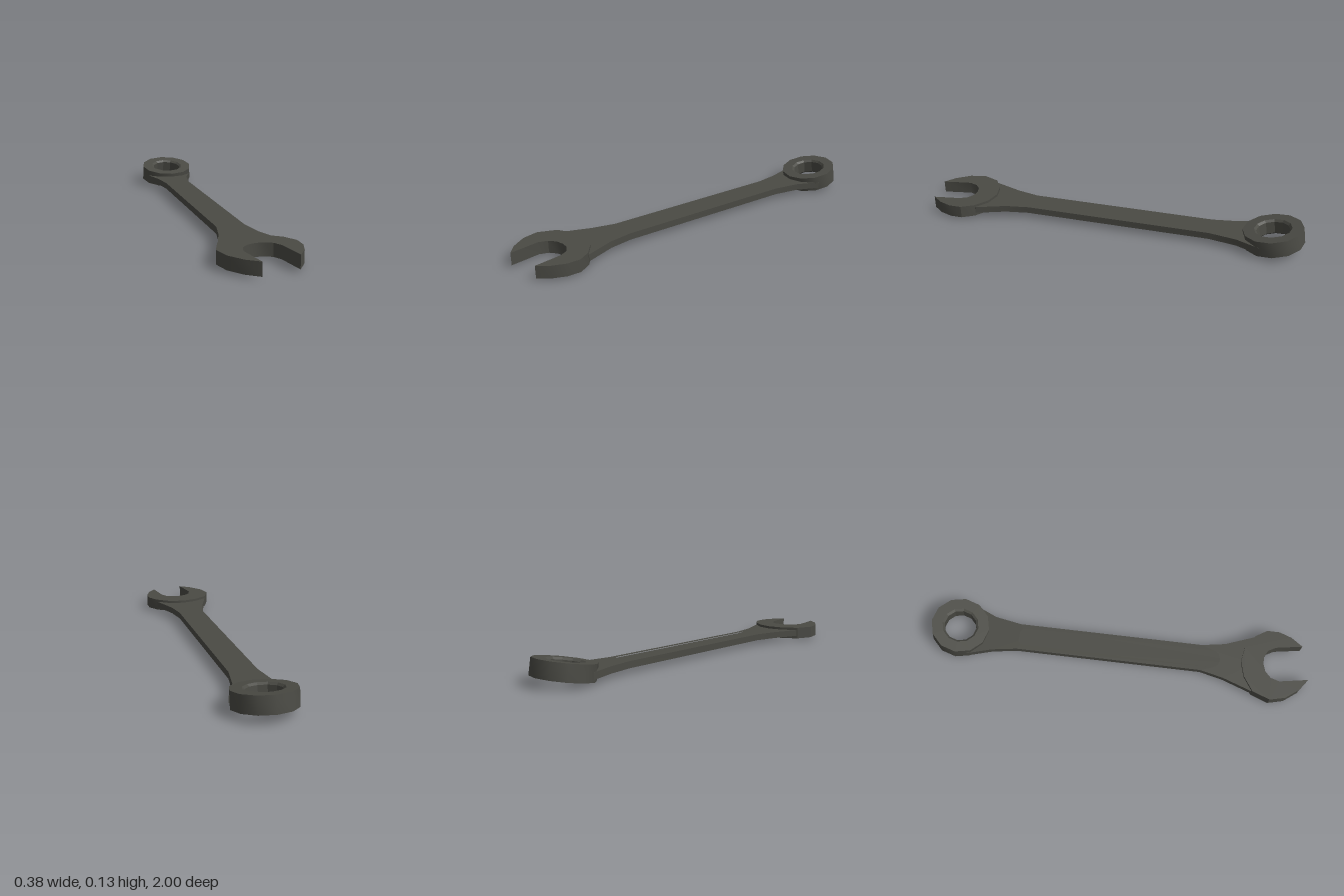
import * as THREE from 'three';
import { toCreasedNormals } from 'three/addons/utils/BufferGeometryUtils.js';

const outline = (pts) => pts.map(([x, z]) => new THREE.Vector2(x, -z));

// Extrude a plan outline of [x, z] points between two heights
function plate(pts, y0, y1, hole) {
  const shape = new THREE.Shape(outline(pts));
  if (hole) shape.holes.push(new THREE.Path(outline(hole)));
  const geo = new THREE.ExtrudeGeometry(shape, { depth: y1 - y0, bevelEnabled: false });
  geo.rotateX(-Math.PI / 2).translate(0, y0, 0);
  return toCreasedNormals(geo, 0.5);
}

function lathe(pts, sides, crease) {
  const geo = new THREE.LatheGeometry(pts.map(([r, y]) => new THREE.Vector2(r, y)), sides);
  return toCreasedNormals(geo, crease);
}

export function createModel() {
  const model = new THREE.Group();
  model.name = 'combinationWrench';
  const steel = new THREE.MeshStandardMaterial({ color: 0x4a4a44 });
  steel.name = 'dark steel';
  const add = (name, geo, parent = model) => {
    const mesh = new THREE.Mesh(geo, steel);
    mesh.name = name;
    parent.add(mesh);
    return mesh;
  };

  // Handle, flaring into both heads, with a shallow recess in its top
  const handle = [
    [0.07, -0.53], [0.07, 0.44], [0.09, 0.56], [0.147, 0.71], [0.12, 0.74],
    [0, 0.72], [-0.12, 0.74], [-0.152, 0.71], [-0.098, 0.56], [-0.07, 0.44],
    [-0.07, -0.53], [-0.09, -0.66], [-0.128, -0.79], [-0.08, -0.75],
    [0.09, -0.75], [0.148, -0.79], [0.095, -0.67],
  ];
  const recess = [
    [0.045, -0.515], [0.045, 0.51], [0.03, 0.53], [0, 0.54], [-0.03, 0.53],
    [-0.045, 0.51], [-0.045, -0.515], [-0.025, -0.53], [0, -0.535], [0.025, -0.53],
  ];
  add('handleBase', plate(handle, 0.031, 0.055));
  add('handleRim', plate(handle, 0.055, 0.065, recess));

  // Open jaw with a slanted mouth
  const jaw = [
    [-0.06, 0.998], [-0.118, 0.955], [-0.17, 0.885], [-0.19, 0.805], [-0.155, 0.715],
    [-0.08, 0.667], [0, 0.648], [0.08, 0.664], [0.15, 0.715], [0.187, 0.775],
    [0.187, 0.84], [0.163, 0.905], [0.12, 0.963],
    [0.097, 0.825], [0.075, 0.785], [0.04, 0.766], [0, 0.764], [-0.04, 0.776],
    [-0.072, 0.805], [-0.086, 0.85],
  ];
  add('openJaw', plate(jaw, 0.015, 0.078));

  // Tilted ring head with a twelve-sided, chamfered socket
  const ring = new THREE.Group();
  ring.name = 'ringHead';
  ring.position.set(0.01, 0.069, -0.845);
  ring.rotation.x = 0.175;
  const h = 0.041, rim = 0.094, bore = 0.083;
  add('ringBody', lathe([[rim, -h], [0.15, -h], [0.15, h], [rim, h]], 12, 0.6), ring);
  add('ringSocket', lathe([[rim, h], [bore, h - 0.01], [bore, 0.01 - h], [rim, -h]], 12, 0.3), ring);
  model.add(ring);

  return model;
}
